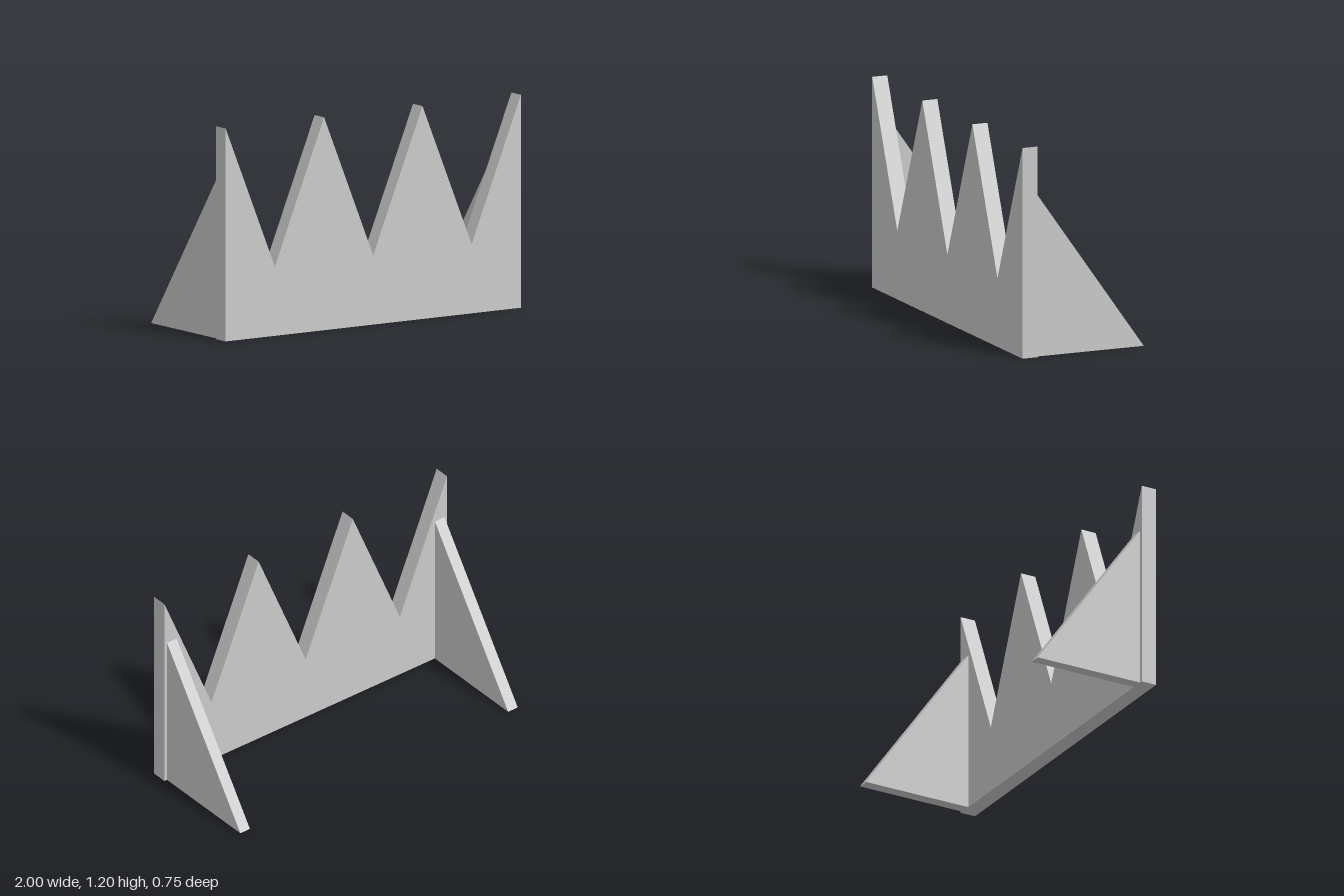
import * as THREE from 'three';

const material = new THREE.MeshStandardMaterial({ color: 0xcccccc, flatShading: true });

// Extrudes an outline to a flat board of the given thickness
function board(name, points, depth) {
  const shape = new THREE.Shape(points.map(([x, y]) => new THREE.Vector2(x, y)));
  const geometry = new THREE.ExtrudeGeometry(shape, { depth, bevelEnabled: false });
  const mesh = new THREE.Mesh(geometry, material);
  mesh.name = name;
  return mesh;
}

export function createModel() {
  const group = new THREE.Group();
  group.name = 'zigzagStand';

  const front = 0.375, back = 0.283;
  const peak = 1.2, valley = 0.39, teeth = 3;

  // Upright panel with a zigzag top edge
  const outline = [[-1, 0], [1, 0]];
  for (let i = 0; i <= teeth * 2; i++) {
    outline.push([1 - i / teeth, i % 2 ? valley : peak]);
  }
  const panel = board('zigzagPanel', outline, front - back);
  panel.position.z = back;
  group.add(panel);

  // Triangular supports behind both ends
  const thickness = 0.068;
  for (const [name, x] of [['leftSupport', 0.948], ['rightSupport', -0.948]]) {
    const support = board(name, [[-back, 0], [0.375, 0], [-back, 0.93]], thickness);
    support.geometry.rotateY(Math.PI / 2);
    support.position.x = x - thickness / 2;
    group.add(support);
  }

  return group;
}
